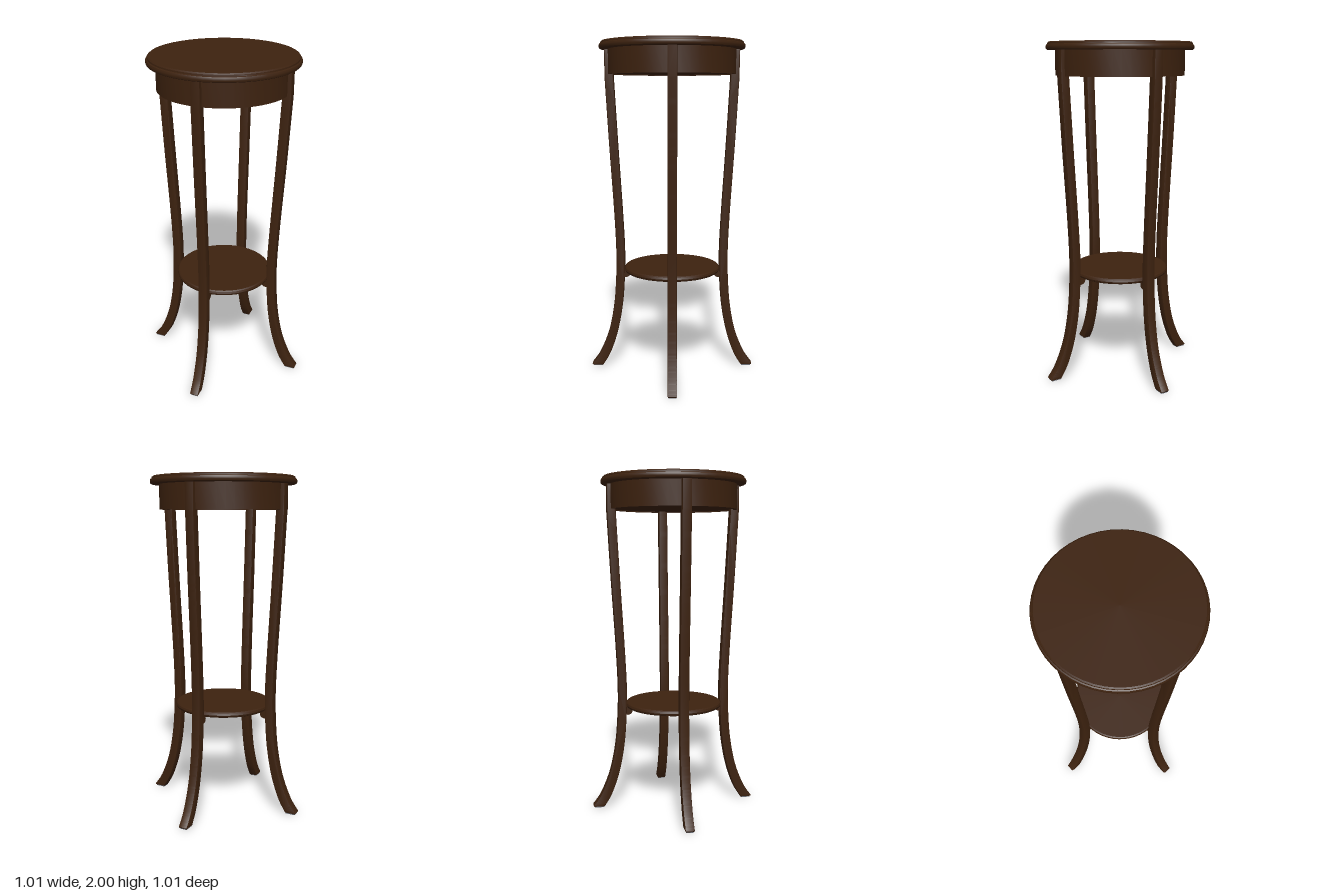
import * as THREE from 'three';
import { toCreasedNormals } from 'three/addons/utils/BufferGeometryUtils.js';

const wood = new THREE.MeshStandardMaterial({ color: 0x3d220f });
wood.name = 'dark wood';
const padGrey = new THREE.MeshStandardMaterial({ color: 0x6c7078 });
padGrey.name = 'grey pad';

const LEG_WIDTH = 0.054;

function addMesh(parent, name, geometry, material = wood) {
  const mesh = new THREE.Mesh(geometry, material);
  mesh.name = name;
  parent.add(mesh);
  return mesh;
}

// Turned part from [radius, height] pairs listed bottom to top
function turned(profile, segments = 48) {
  const points = profile.map(([r, y]) => new THREE.Vector2(r, y));
  return toCreasedNormals(new THREE.LatheGeometry(points, segments), 0.5);
}

// Side silhouette of one sabre leg, extruded with softened edges
function legGeometry() {
  const v = (x, y) => new THREE.Vector2(x, y);
  const outer = [v(0.398, 1.8), v(0.377, 1.4), v(0.353, 1.0), v(0.343, 0.75), v(0.346, 0.58),
    v(0.361, 0.4), v(0.395, 0.23), v(0.45, 0.09), v(0.503, 0.012)];
  const inner = [v(0.435, 0.005), v(0.386, 0.09), v(0.339, 0.23), v(0.308, 0.4),
    v(0.294, 0.58), v(0.291, 0.75), v(0.302, 1.0), v(0.325, 1.4), v(0.346, 1.8)];
  const shape = new THREE.Shape();
  shape.moveTo(0.346, 1.956);
  shape.lineTo(0.398, 1.956);
  shape.lineTo(0.398, 1.8);
  shape.splineThru(outer.slice(1));
  shape.lineTo(0.498, 0.005);
  shape.lineTo(0.435, 0.005);
  shape.splineThru(inner.slice(1));
  const bevel = 0.006;
  const geometry = new THREE.ExtrudeGeometry(shape, {
    depth: LEG_WIDTH - 2 * bevel, curveSegments: 24,
    bevelEnabled: true, bevelThickness: bevel, bevelSize: bevel, bevelOffset: -bevel, bevelSegments: 2,
  });
  geometry.translate(0, 0, bevel - LEG_WIDTH / 2);
  return toCreasedNormals(geometry, 0.5);
}

export function createModel() {
  const stand = new THREE.Group();
  stand.name = 'plantStand';

  // Round top with a stepped, rounded rim
  addMesh(stand, 'tableTop', turned([
    [0, 1.954], [0.42, 1.954], [0.427, 1.958], [0.43, 1.966], [0.43, 1.975],
    [0.426, 1.983], [0.42, 1.986], [0.419, 1.994], [0.412, 2], [0, 2],
  ]));

  // Apron drum, closed underneath by a slightly recessed panel
  addMesh(stand, 'apron', turned([
    [0, 1.816], [0.362, 1.816], [0.362, 1.81], [0.377, 1.81], [0.377, 1.956],
  ]));

  // Lower shelf with a rounded edge
  addMesh(stand, 'shelf', turned([
    [0, 0.62], [0.282, 0.62], [0.289, 0.624], [0.293, 0.635], [0.289, 0.646], [0.282, 0.651], [0, 0.651],
  ]));

  // Four legs, each with a shelf support and a foot pad
  const legShape = legGeometry();
  const supportShape = new THREE.CylinderGeometry(0.028, 0.028, 0.036, 20).rotateX(Math.PI / 2);
  const padShape = new THREE.BoxGeometry(0.058, 0.006, LEG_WIDTH - 0.01);
  for (let i = 0; i < 4; i++) {
    const corner = new THREE.Group();
    corner.name = 'legAssembly' + (i + 1);
    corner.rotation.y = i * Math.PI / 2;
    addMesh(corner, 'leg', legShape);
    addMesh(corner, 'shelfSupport', supportShape).position.set(0.285, 0.604, 0);
    addMesh(corner, 'footPad', padShape, padGrey).position.set(0.467, 0.003, 0);
    stand.add(corner);
  }
  return stand;
}
